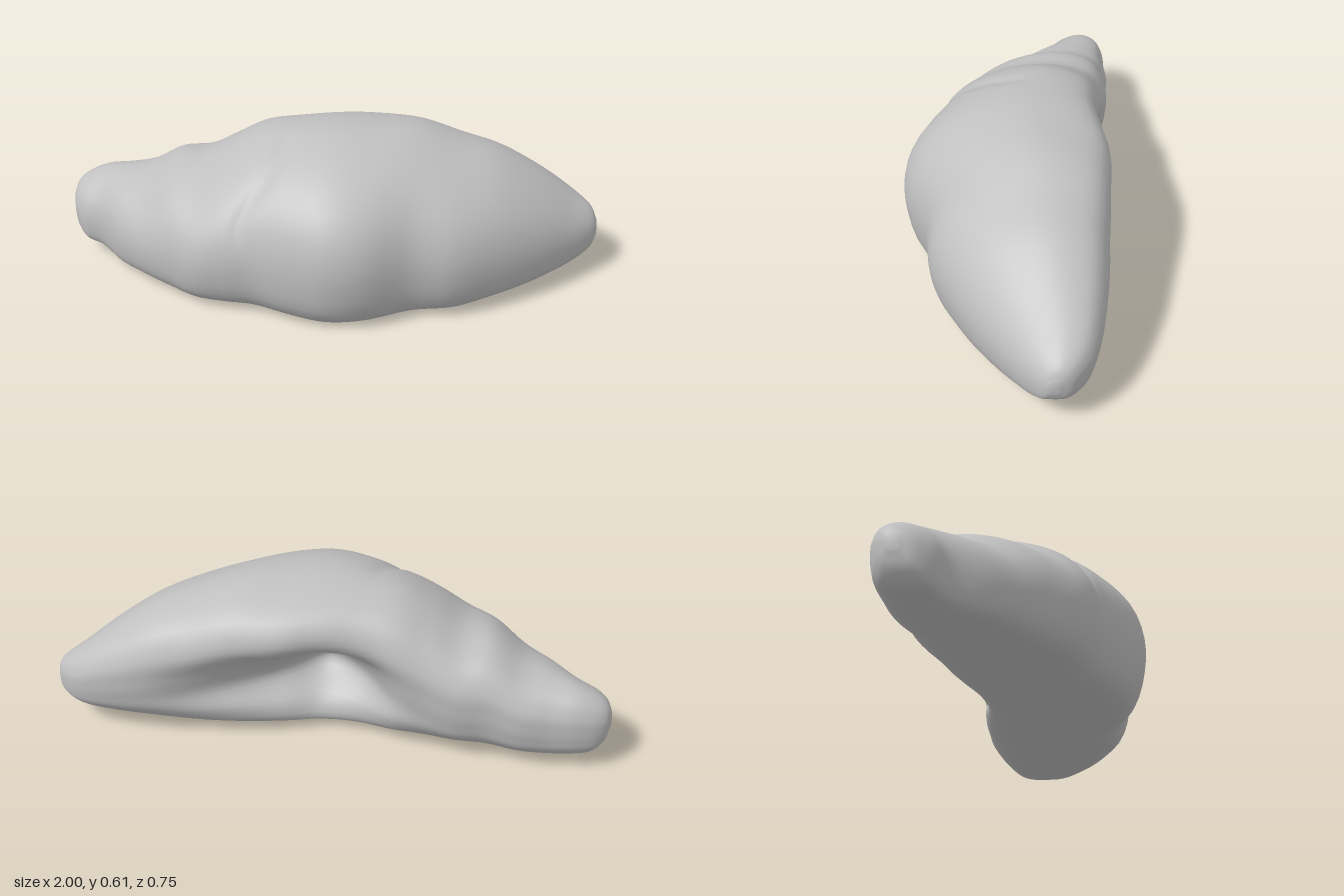
import * as THREE from 'three';

// Stations along the pastry: x, top y, bottom y, front z, back z, hollow (0..1)
const STATIONS = [
  [-1.0, 0.22, 0.17, -0.2, -0.24, 0],
  [-0.982, 0.265, 0.11, -0.145, -0.28, 0],
  [-0.94, 0.3, 0.065, -0.1, -0.31, 0],
  [-0.87, 0.33, 0.05, -0.065, -0.33, 0],
  [-0.78, 0.35, 0.03, 0.03, -0.338, 0],
  [-0.68, 0.375, 0.025, 0.11, -0.35, 0],
  [-0.57, 0.445, 0.02, 0.185, -0.342, 0],
  [-0.46, 0.465, 0.015, 0.255, -0.348, 0],
  [-0.35, 0.53, 0.012, 0.28, -0.338, 0.05],
  [-0.24, 0.585, 0.01, 0.295, -0.335, 0.2],
  [-0.1, 0.61, 0.005, 0.345, -0.32, 0.65],
  [0.03, 0.62, 0.0, 0.378, -0.335, 0.9],
  [0.16, 0.615, 0.002, 0.358, -0.37, 0.65],
  [0.32, 0.6, 0.005, 0.27, -0.377, 0.4],
  [0.48, 0.545, 0.01, 0.237, -0.38, 0.2],
  [0.63, 0.49, 0.03, 0.155, -0.38, 0.05],
  [0.78, 0.4, 0.05, 0.04, -0.365, 0],
  [0.9, 0.31, 0.072, -0.07, -0.335, 0],
  [0.975, 0.25, 0.105, -0.15, -0.28, 0],
  [1.0, 0.2, 0.15, -0.19, -0.23, 0],
];
const RINGS = 120;
const SIDES = 60;

// Cross-section, u = back to front, v = bottom to top; the hollow pushes the back inward
function section(d) {
  const pts = [
    [1, 0.34], [0.94, 0.65], [0.72, 0.88], [0.4, 0.99], [0.13 - 0.07 * d, 0.92],
    [0.01, 0.72], [0.32 * d, 0.52], [0.02 + 0.42 * d, 0.36], [0.07 + 0.16 * d, 0.2],
    [0.22, 0.05], [0.55, 0.0], [0.9, 0.03],
  ].map(([u, v]) => new THREE.Vector3(u, v, 0));
  return new THREE.CatmullRomCurve3(pts, true, 'catmullrom', 0.5);
}

function pastryGeometry() {
  const spine = new THREE.CatmullRomCurve3(STATIONS.map(s => new THREE.Vector3(s[0], s[1], s[2])), false, 'catmullrom', 0.5);
  const depth = new THREE.CatmullRomCurve3(STATIONS.map(s => new THREE.Vector3(s[3], s[4], s[5])), false, 'catmullrom', 0.5);
  const pos = [], index = [];
  for (let i = 0; i <= RINGS; i++) {
    const a = spine.getPoint(i / RINGS), b = depth.getPoint(i / RINGS);
    const curve = section(Math.max(0, b.z));
    const cy = (a.y + a.z) / 2, cz = (b.x + b.y) / 2;
    for (let j = 0; j < SIDES; j++) {
      const p = curve.getPoint(j / SIDES);
      let y = a.z + p.y * (a.y - a.z), z = b.y + p.x * (b.x - b.y);
      // slanted seam of the rolled dough on the upper front
      const seam = Math.exp(-(((a.x + 0.29 - 0.7 * Math.max(0, y - 0.38)) / 0.025) ** 2));
      const upper = THREE.MathUtils.smoothstep(y, 0.25, 0.4) * THREE.MathUtils.smoothstep(z, -0.1, 0.05);
      // gentle unevenness
      const lump = 0.01 * Math.sin(9 * a.x + 5 * y) * Math.sin(11 * z + 7 * y);
      const k = 1 - 0.04 * seam * upper + lump;
      y = Math.max(0, cy + (y - cy) * k);
      z = cz + (z - cz) * k;
      pos.push(a.x, y, z);
    }
  }
  for (let i = 0; i < RINGS; i++) {
    for (let j = 0; j < SIDES; j++) {
      const k = (j + 1) % SIDES, r = i * SIDES, s = r + SIDES;
      index.push(r + j, s + j, s + k, r + j, s + k, r + k);
    }
  }
  // rounded tips
  const n = (RINGS + 1) * SIDES, last = RINGS * SIDES;
  pos.push(-1.001, 0.195, -0.22, 1.001, 0.175, -0.21);
  for (let j = 0; j < SIDES; j++) {
    const k = (j + 1) % SIDES;
    index.push(n, j, k, n + 1, last + k, last + j);
  }
  const g = new THREE.BufferGeometry();
  g.setAttribute('position', new THREE.Float32BufferAttribute(pos, 3));
  g.setIndex(index);
  g.computeVertexNormals();
  return g;
}

export function createModel() {
  const group = new THREE.Group();
  group.name = 'croissant';
  const crust = new THREE.MeshStandardMaterial({ color: 0xc0c0c0 });
  crust.name = 'pale grey crust';
  const body = new THREE.Mesh(pastryGeometry(), crust);
  body.name = 'pastryBody';
  group.add(body);
  return group;
}
